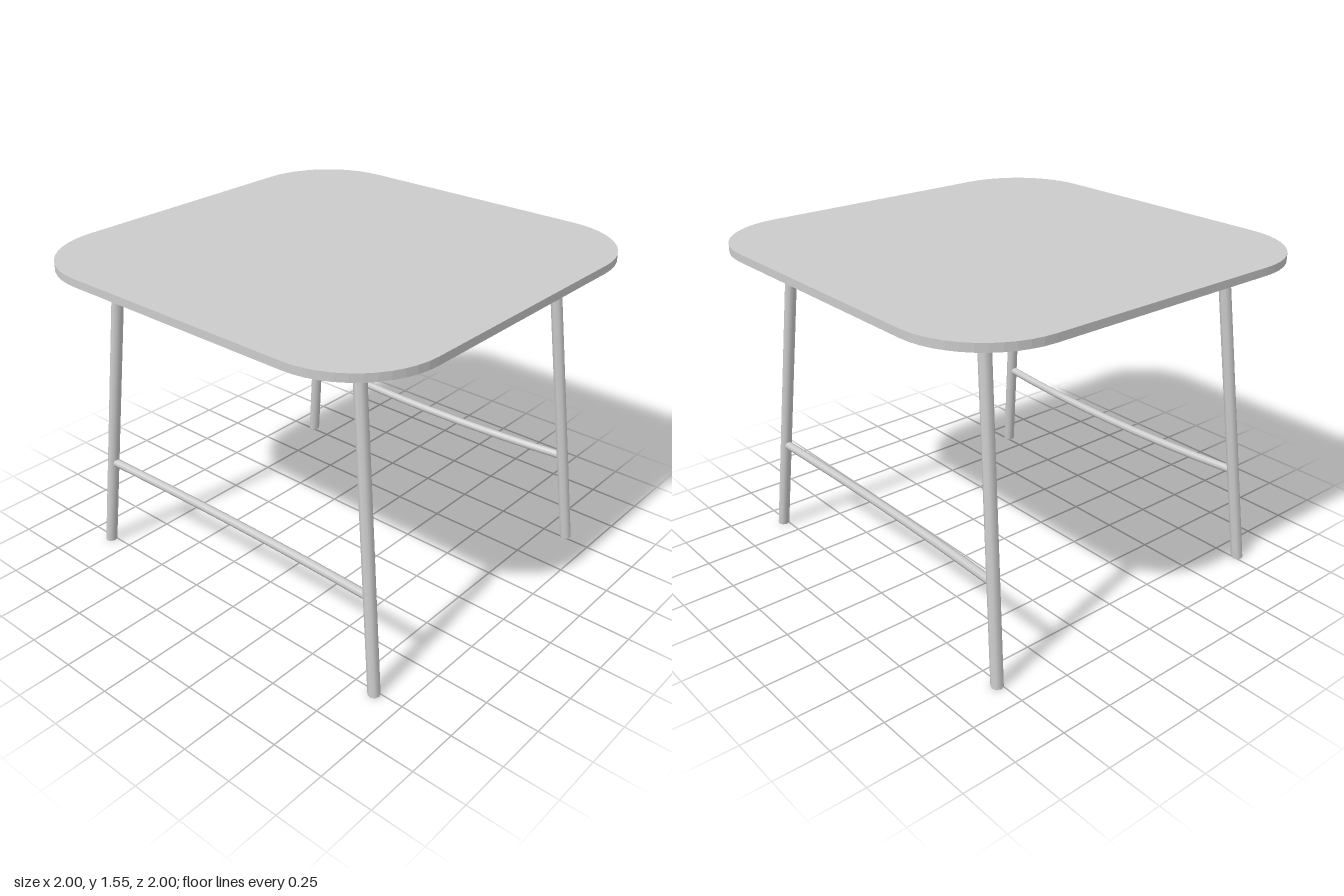
import * as THREE from 'three';

const material = new THREE.MeshStandardMaterial({ color: 0xcccccc });
const TOP_Y = 1.55, THICK = 0.037, HEIGHT = TOP_Y - THICK;

// Flat slab with rounded corners
function makeTop() {
  const h = 1, r = 0.4, c = h - r;
  const shape = new THREE.Shape();
  shape.absarc(c, c, r, 0, Math.PI / 2);
  shape.absarc(-c, c, r, Math.PI / 2, Math.PI);
  shape.absarc(-c, -c, r, Math.PI, Math.PI * 1.5);
  shape.absarc(c, -c, r, Math.PI * 1.5, Math.PI * 2);
  const geo = new THREE.ExtrudeGeometry(shape, { depth: THICK, bevelEnabled: false, curveSegments: 6 });
  geo.rotateX(-Math.PI / 2).translate(0, HEIGHT, 0);
  const mesh = new THREE.Mesh(geo, material);
  mesh.name = 'tableTop';
  return mesh;
}

// Splayed leg: an upright cylinder sheared so both ends stay level
function makeLeg(sx, sz) {
  const geo = new THREE.CylinderGeometry(0.028, 0.028, HEIGHT, 8);
  geo.translate(0, HEIGHT / 2, 0);
  const kx = (-0.17 * sx) / HEIGHT, kz = (-0.083 * sz) / HEIGHT;
  geo.applyMatrix4(new THREE.Matrix4().set(
    1, kx, 0, 0.865 * sx,
    0, 1, 0, 0,
    0, kz, 1, 0.768 * sz,
    0, 0, 0, 1));
  const mesh = new THREE.Mesh(geo, material);
  mesh.name = (sz > 0 ? 'front' : 'back') + (sx > 0 ? 'Left' : 'Right') + 'Leg';
  return mesh;
}

// Thin rail between two legs, bowed slightly down and inward
function makeStretcher(sz) {
  const curve = new THREE.QuadraticBezierCurve3(
    new THREE.Vector3(-0.813, 0.465, 0.743 * sz),
    new THREE.Vector3(0, 0.437, 0.687 * sz),
    new THREE.Vector3(0.813, 0.465, 0.743 * sz));
  const mesh = new THREE.Mesh(new THREE.TubeGeometry(curve, 8, 0.02, 8), material);
  mesh.name = sz > 0 ? 'frontStretcher' : 'backStretcher';
  return mesh;
}

export function createModel() {
  const table = new THREE.Group();
  table.name = 'table';
  table.add(makeTop());
  for (const sz of [1, -1]) {
    for (const sx of [1, -1]) table.add(makeLeg(sx, sz));
    table.add(makeStretcher(sz));
  }
  return table;
}
